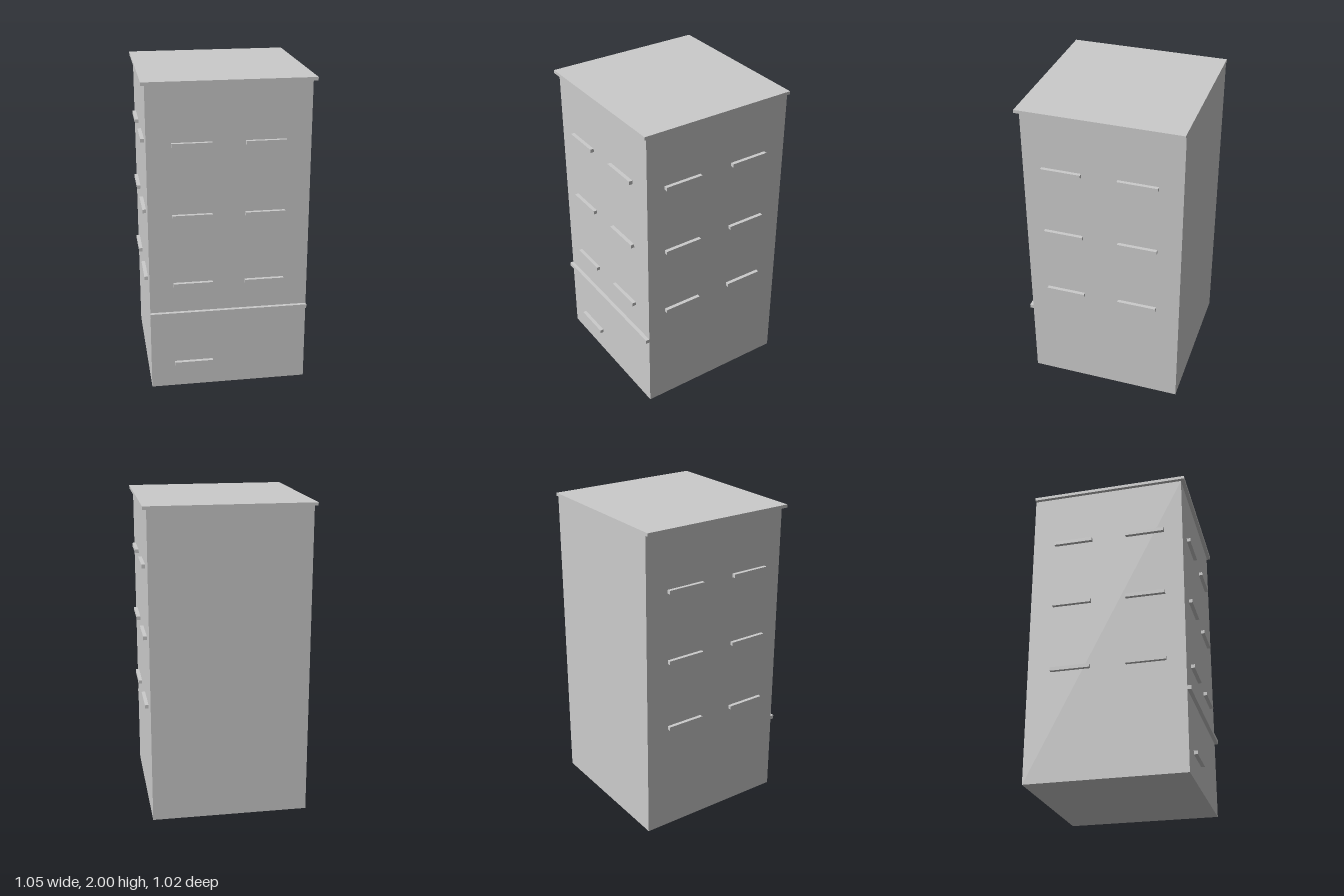
import * as THREE from 'three';

const material = new THREE.MeshStandardMaterial({ color: 0xcccccc, flatShading: true });

// Adds a box spanning the given [min, max] ranges
function addBox(parent, name, [x0, x1], [y0, y1], [z0, z1]) {
  const mesh = new THREE.Mesh(new THREE.BoxGeometry(x1 - x0, y1 - y0, z1 - z0), material);
  mesh.position.set((x0 + x1) / 2, (y0 + y1) / 2, (z0 + z1) / 2);
  mesh.name = name;
  parent.add(mesh);
}

export function createModel() {
  const building = new THREE.Group();
  building.name = 'building';

  const half = 0.5, back = -0.511, front = 0.487;
  const overhangX = 0.523, overhangZ = 0.511;
  const sillHeight = 0.023;

  // Main block and the flat roof, flush with the back wall
  addBox(building, 'walls', [-half, half], [0, 1.98], [back, front]);
  addBox(building, 'roof', [-overhangX, overhangX], [1.98, 2], [back, overhangZ]);

  // Band above the ground floor, front only
  addBox(building, 'frontBand', [-half, half], [0.503, 0.528], [front, overhangZ]);

  // Window sills: two per floor on the front and on both sides
  const frontSpans = [[-0.351, -0.105], [0.099, 0.345]];
  const sideSpans = [[0.116, 0.367], [-0.361, -0.11]];
  for (const y of [0.704, 1.155, 1.606]) {
    const ySpan = [y, y + sillHeight];
    for (const x of frontSpans) addBox(building, 'frontSill', x, ySpan, [front, overhangZ]);
    for (const z of sideSpans) {
      addBox(building, 'leftSill', [half, overhangX], ySpan, z);
      addBox(building, 'rightSill', [-overhangX, -half], ySpan, z);
    }
  }

  // Single sill on the ground floor
  addBox(building, 'groundFloorSill', frontSpans[0], [0.153, 0.153 + sillHeight], [front, overhangZ]);

  return building;
}
